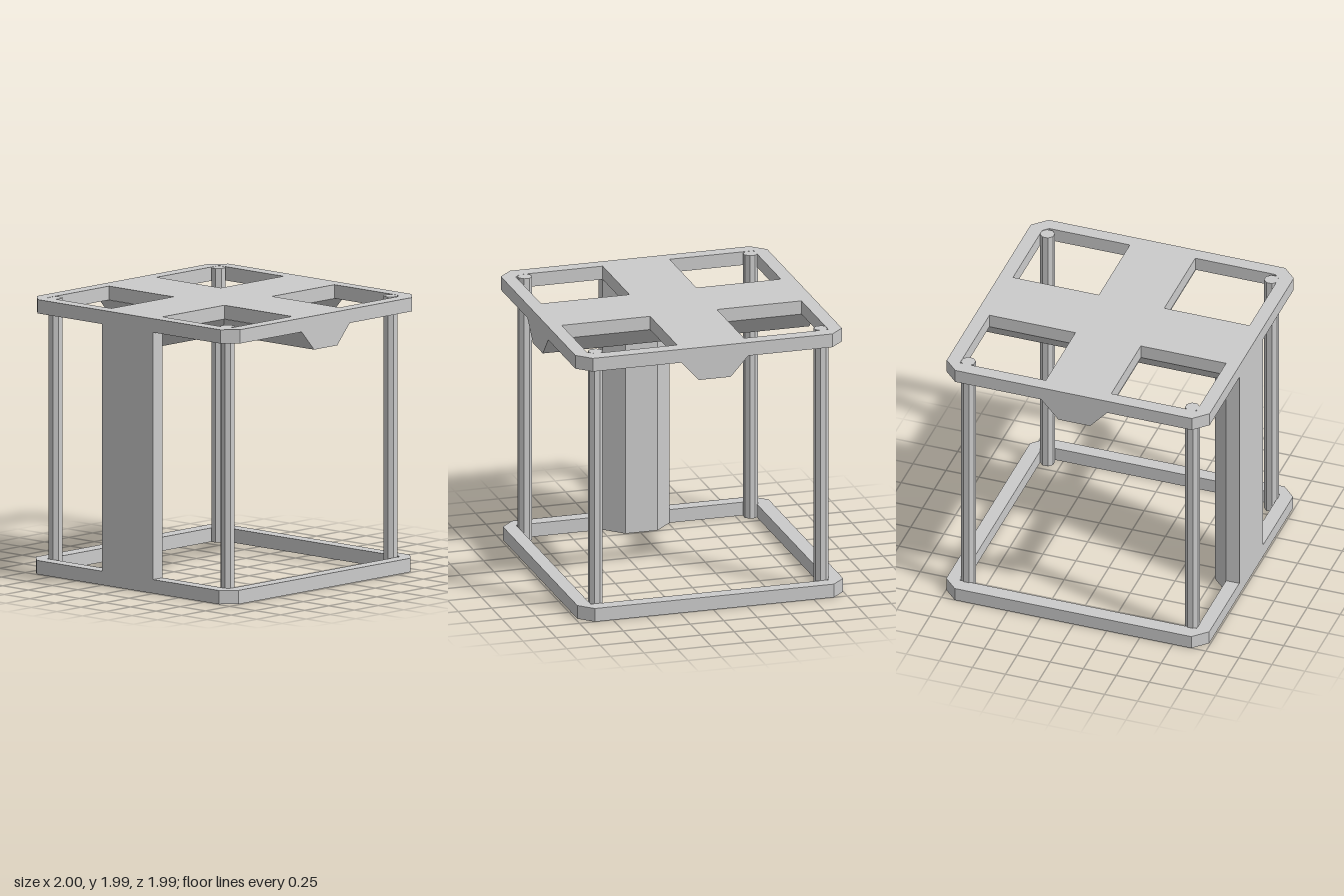
import * as THREE from 'three';

const material = new THREE.MeshStandardMaterial({ color: 0xcccccc, flatShading: true, side: THREE.DoubleSide });

const toVectors = (points) => points.map(([x, y]) => new THREE.Vector2(x, y));

// Extrudes a plan outline given as [x, z] points from y0 up to y1.
function slab(name, outline, holes, y0, y1) {
  const plan = (points) => toVectors(points.map(([x, z]) => [x, -z]));
  const shape = new THREE.Shape(plan(outline));
  shape.holes = holes.map((hole) => new THREE.Path(plan(hole)));
  const geometry = new THREE.ExtrudeGeometry(shape, { depth: y1 - y0, bevelEnabled: false });
  geometry.rotateX(-Math.PI / 2).translate(0, y0, 0);
  const mesh = new THREE.Mesh(geometry, material);
  mesh.name = name;
  return mesh;
}

// Rectangle with its four corners cut off.
function chamfered(x0, x1, z0, z1, c) {
  return [
    [x0 + c, z0], [x1 - c, z0], [x1, z0 + c], [x1, z1 - c],
    [x1 - c, z1], [x0 + c, z1], [x0, z1 - c], [x0, z0 + c],
  ];
}

const rectangle = (x0, x1, z0, z1) => [[x0, z0], [x1, z0], [x1, z1], [x0, z1]];

// Tapered stiffening rib under the top, running along z.
function rib(name, z0, z1) {
  const profile = new THREE.Shape(toVectors([[-0.25, 1.89], [-0.12, 1.745], [0.12, 1.745], [0.25, 1.89]]));
  const geometry = new THREE.ExtrudeGeometry(profile, { depth: z1 - z0, bevelEnabled: false });
  geometry.translate(0, 0, z0);
  const mesh = new THREE.Mesh(geometry, material);
  mesh.name = name;
  return mesh;
}

export function createModel() {
  const group = new THREE.Group();
  group.name = 'frame';

  // Bottom ring
  group.add(slab('bottomRing', chamfered(-1, 0.985, -1, 0.99, 0.1),
    [rectangle(-0.89, 0.885, -0.9, 0.89)], 0, 0.1));

  // Top plate with four openings around a cross; the left outer corners are cut
  const openings = [];
  for (const [z0, z1, outer, cut] of [[-0.9, -0.25, -0.9, 0.04], [0.245, 0.89, 0.89, -0.04]]) {
    openings.push(rectangle(-0.89, -0.26, z0, z1));
    const inner = outer === z0 ? z1 : z0;
    openings.push([[0.24, inner], [0.24, outer], [0.9 - Math.abs(cut), outer], [0.9, outer + cut], [0.9, inner]]);
  }
  group.add(slab('topPlate', chamfered(-0.99, 1, -1, 0.99, 0.1), openings, 1.89, 1.99));

  // Crossed ribs under the top plate
  const lengthRib = rib('lengthRib', -1, 0.99);
  lengthRib.position.x = -0.01;
  const crossRib = rib('crossRib', -0.99, 1);
  crossRib.rotation.y = Math.PI / 2;
  group.add(lengthRib, crossRib);

  // Front column with a tapered inner side
  group.add(slab('frontColumn', [
    [-0.26, 0.99], [0.24, 0.99], [0.24, 0.89], [0.11, 0.76], [-0.13, 0.76], [-0.26, 0.89],
  ], [], 0, 1.9));

  // Eight-sided corner posts
  const postGeometry = new THREE.CylinderGeometry(0.053, 0.053, 1.985, 8).rotateY(Math.PI / 8);
  for (const x of [-0.85, 0.835]) {
    for (const z of [-0.85, 0.845]) {
      const post = new THREE.Mesh(postGeometry, material);
      post.name = `${z > 0 ? 'front' : 'back'}${x > 0 ? 'Left' : 'Right'}Post`;
      post.position.set(x, 0.9965, z);
      group.add(post);
    }
  }
  return group;
}
